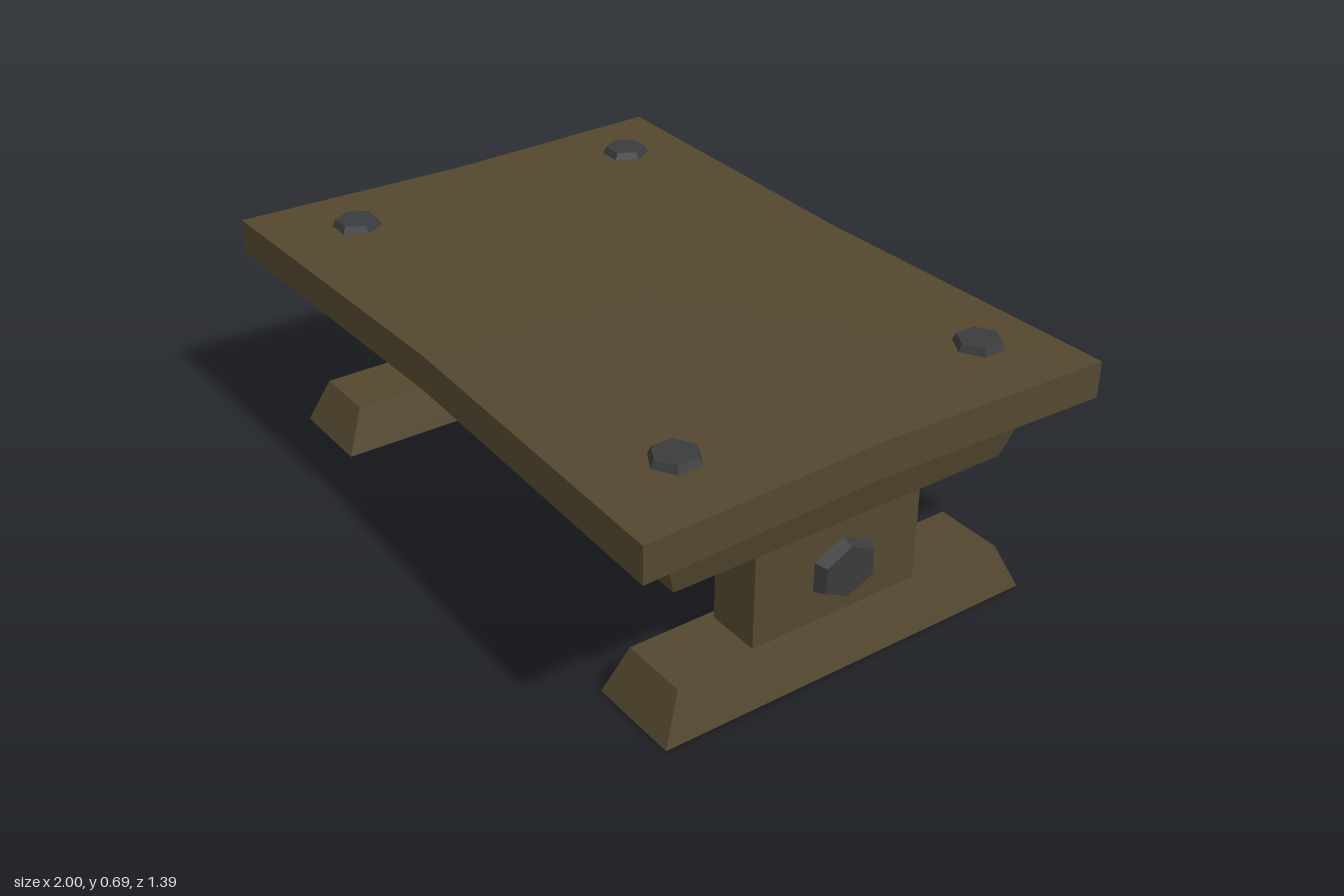
import * as THREE from 'three';

const wood = new THREE.MeshStandardMaterial({ color: 0x54472f, flatShading: true, side: THREE.DoubleSide });
wood.name = 'darkWood';
const iron = new THREE.MeshStandardMaterial({ color: 0x3a3b3d, flatShading: true });
iron.name = 'darkIron';

// Rectangle outline, counterclockwise seen from above
const rect = (x0, x1, z0, z1) => [[x0, z1], [x1, z1], [x1, z0], [x0, z0]];

// Shell between two outlines, closed only where asked
function shell(lower, y0, upper, y1, { top = false, bottom = false } = {}) {
  const pos = [];
  const n = lower.length;
  const lo = (i) => [lower[i % n][0], y0, lower[i % n][1]];
  const hi = (i) => [upper[i % n][0], y1, upper[i % n][1]];
  for (let i = 0; i < n; i++) {
    pos.push(...lo(i), ...lo(i + 1), ...hi(i + 1), ...lo(i), ...hi(i + 1), ...hi(i));
    if (top) pos.push(0, y1, 0, ...hi(i), ...hi(i + 1));
    if (bottom) pos.push(0, y0, 0, ...lo(i + 1), ...lo(i));
  }
  const g = new THREE.BufferGeometry();
  g.setAttribute('position', new THREE.Float32BufferAttribute(pos, 3));
  g.computeVertexNormals();
  return g;
}

export function createModel() {
  const model = new THREE.Group();
  model.name = 'lowTable';
  const add = (name, geometry, material, parent = model) => {
    const mesh = new THREE.Mesh(geometry, material);
    mesh.name = name;
    parent.add(mesh);
    return mesh;
  };

  // Tabletop with slightly pinched sides, open below
  const outline = [[-1, 0.695], [0, 0.667], [1, 0.695], [0.975, 0], [1, -0.698], [0, -0.672], [-1, -0.698], [-0.975, 0]];
  add('tabletop', shell(outline, 0.565, outline, 0.668, { top: true }), wood);

  // Trestle at each end, centred on its own x
  for (const side of [-1, 1]) {
    const trestle = new THREE.Group();
    trestle.name = side > 0 ? 'leftTrestle' : 'rightTrestle';
    trestle.position.x = side * 0.795;
    model.add(trestle);

    add('foot', shell(rect(-0.136, 0.136, -0.565, 0.58), 0,
      rect(-0.098, 0.098, -0.505, 0.52), 0.13, { top: true }), wood, trestle);
    add('post', shell(rect(-0.077, 0.077, -0.235, 0.282), 0.13,
      rect(-0.077, 0.077, -0.235, 0.282), 0.397), wood, trestle);
    add('bearer', shell(rect(-0.077, 0.077, -0.505, 0.52), 0.397,
      rect(-0.118, 0.118, -0.565, 0.58), 0.565, { bottom: true }), wood, trestle);

    // Bolt through the post, point upward
    const bolt = new THREE.CylinderGeometry(0.073, 0.087, 0.035, 6);
    bolt.rotateY(Math.PI / 2).rotateZ(-side * Math.PI / 2).scale(1, 1, 1.18);
    add('postBolt', bolt, iron, trestle).position.set(side * 0.092, 0.265, 0.01);
  }

  // Stretchers between the trestles
  add('lowerStretcher', shell(rect(-0.72, 0.72, -0.085, 0.1), 0.07,
    rect(-0.72, 0.72, -0.045, 0.06), 0.172, { top: true }), wood);
  const bar = rect(-0.72, 0.72, -0.045, 0.06);
  add('upperStretcher', shell(bar, 0.232, bar, 0.302, { top: true }), wood);

  // Tabletop bolts: x, z, turn
  const bolts = [[-0.78, -0.493, Math.PI / 6], [-0.78, 0.44, Math.PI / 6], [0.76, -0.51, 0], [0.76, 0.437, 0]];
  for (const [x, z, turn] of bolts) {
    const bolt = add('tabletopBolt', new THREE.CylinderGeometry(0.06, 0.075, 0.03, 6), iron);
    bolt.position.set(x, 0.673, z);
    bolt.rotation.y = turn;
  }
  return model;
}
